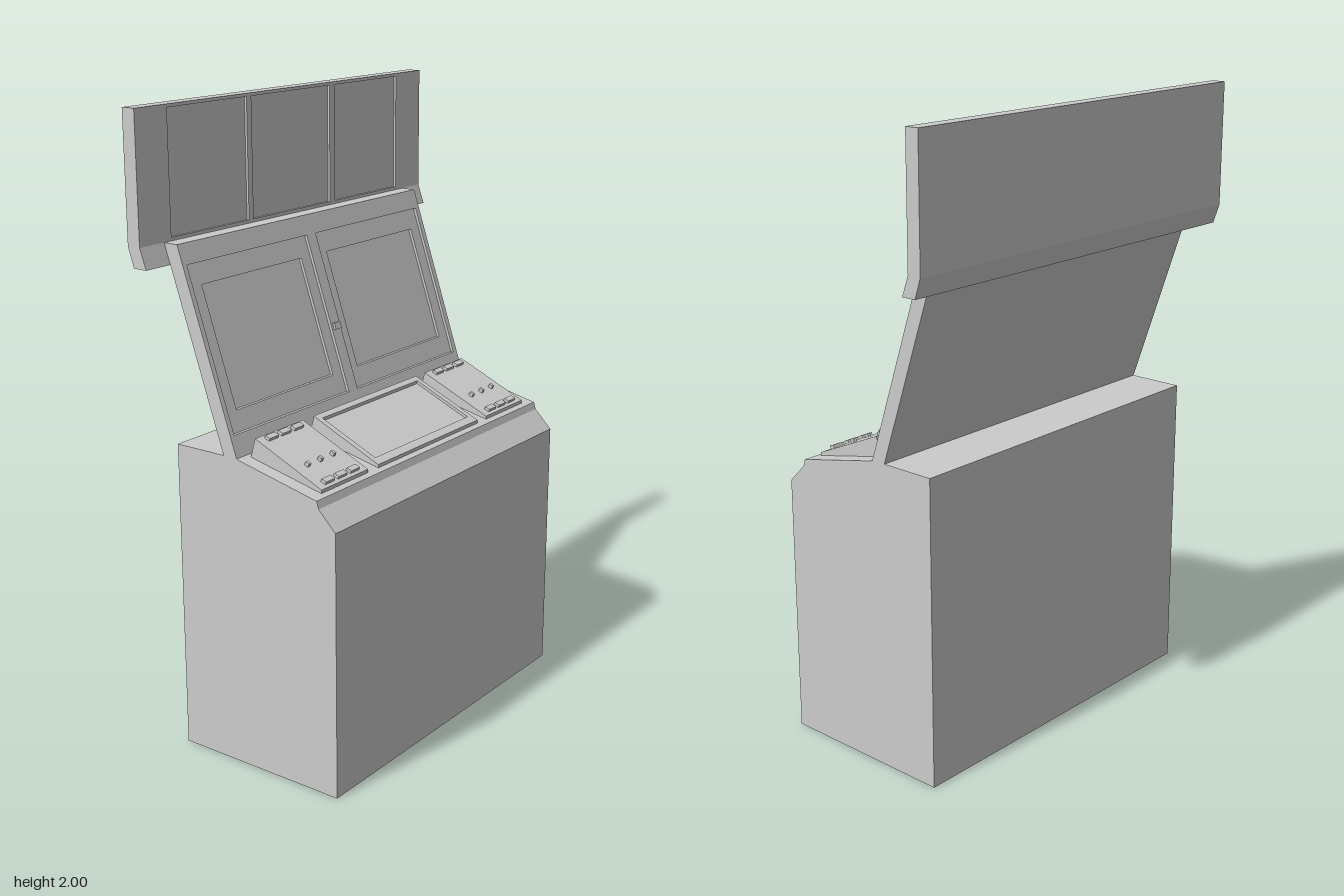
import * as THREE from 'three';

const grey = new THREE.MeshStandardMaterial({ color: 0xcccccc, flatShading: true });

function mesh(name, geometry, parent) {
  const m = new THREE.Mesh(geometry, grey);
  m.name = name;
  parent.add(m);
  return m;
}

// Side profile given as [z, y] points, extruded across the width and centred on cx
function profile(points, width, cx = 0) {
  const shape = new THREE.Shape(points.map(([z, y]) => new THREE.Vector2(z, y)));
  const g = new THREE.ExtrudeGeometry(shape, { depth: width, bevelEnabled: false });
  return g.rotateY(-Math.PI / 2).translate(cx + width / 2, 0, 0);
}

// Rectangles are [x0, y0, x1, y1]
function rect(path, [x0, y0, x1, y1]) {
  path.moveTo(x0, y0);
  path.lineTo(x1, y0);
  path.lineTo(x1, y1);
  path.lineTo(x0, y1);
  path.closePath();
  return path;
}

// Flat plate facing +z with rectangular openings
function plate(outline, holes, back, front) {
  const shape = rect(new THREE.Shape(), outline);
  shape.holes = holes.map((h) => rect(new THREE.Path(), h));
  const g = new THREE.ExtrudeGeometry(shape, { depth: front - back, bevelEnabled: false });
  return g.translate(0, 0, back);
}

// Slant a geometry by moving each vertex along one axis in proportion to another
function slant(g, rule) {
  const p = g.attributes.position;
  const v = new THREE.Vector3();
  for (let i = 0; i < p.count; i++) {
    rule(v.fromBufferAttribute(p, i));
    p.setXYZ(i, v.x, v.y, v.z);
  }
  g.computeVertexNormals();
  return g;
}

// Sloping control surface
const DECK_SLOPE = 0.437;
const deckY = (z) => 0.943 + (0.248 - z) * DECK_SLOPE;
const wedge = (drop) => [
  [0.248, 0.92], [0.248, deckY(0.248) - drop], [0.003, deckY(0.003) - drop], [-0.018, 0.975],
];

function buildCabinet(root) {
  mesh('cabinet', profile([
    [0.335, 0], [0.335, 0.845], [0.275, 0.905], [0.268, 0.928],
    [-0.015, 0.99], [-0.03, 0.995], [-0.26, 0.995], [-0.26, 0],
  ], 1.2), root);
}

function buildControls(root) {
  // Button consoles on both sides
  for (const side of [-1, 1]) {
    const group = new THREE.Group();
    group.name = side > 0 ? 'leftConsole' : 'rightConsole';
    root.add(group);
    const cx = side * 0.439;
    mesh('consoleBody', profile(wedge(0), 0.225, cx), group);
    for (const dx of [-0.06, 0, 0.06]) {
      for (const z of [0.021, 0.229]) {
        const b = mesh('button', new THREE.BoxGeometry(0.042, 0.02, 0.018), group);
        b.position.set(cx + dx, deckY(z), z);
        b.rotation.x = Math.atan(DECK_SLOPE);
      }
      const s = mesh('toggle', new THREE.BoxGeometry(0.011, 0.024, 0.014), group);
      s.position.set(cx + dx, deckY(0.155), 0.155);
      s.rotation.x = Math.atan(DECK_SLOPE);
    }
  }
  // Central display with a recessed face
  const centre = new THREE.Group();
  centre.name = 'deskDisplay';
  root.add(centre);
  mesh('displayBody', profile(wedge(0.01), 0.55), centre);
  const frame = plate([-0.275, -0.248, 0.275, -0.003], [[-0.255, -0.222, 0.255, -0.022]], -0.01, 0);
  frame.rotateX(-Math.PI / 2);
  mesh('displayFrame', slant(frame, (v) => { v.y += deckY(v.z); }), centre);
}

function buildScreens(root) {
  const group = new THREE.Group();
  group.name = 'screenPanel';
  root.add(group);
  const lean = (v) => { v.z += -0.028 - (v.y - 0.995) * 0.34; };
  const outline = [-0.6, 0.99, 0.6, 1.605];
  const frames = [[-0.583, 1.058, -0.024, 1.545], [0.021, 1.058, 0.58, 1.545]];
  const screens = [[-0.535, 1.118, -0.068, 1.48], [0.062, 1.118, 0.535, 1.48]];
  // Two stepped layers of openings in front of a solid back
  mesh('outerFrame', slant(plate(outline, frames, -0.01, 0), lean), group);
  mesh('innerFrame', slant(plate(outline, screens, -0.02, -0.01), lean), group);
  mesh('screenBack', slant(plate(outline, [], -0.05, -0.02), lean), group);
  // Small catch on the centre bar
  const c = mesh('catch', new THREE.BoxGeometry(0.03, 0.022, 0.016), group);
  c.position.set(0, 1.26, -0.118);
  c.rotation.x = -Math.atan(0.34);
}

function buildHeader(root) {
  const group = new THREE.Group();
  group.name = 'header';
  root.add(group);
  mesh('headerBody', profile([
    [-0.295, 2], [-0.333, 2], [-0.333, 1.605], [-0.312, 1.542],
    [-0.264, 1.542], [-0.287, 1.605], [-0.295, 1.605],
  ], 1.4), group);
  mesh('headerFrame', plate([-0.7, 1.605, 0.7, 2], [
    [-0.567, 1.615, -0.218, 1.99], [-0.196, 1.615, 0.191, 1.99], [0.217, 1.615, 0.56, 1.99],
  ], -0.295, -0.287), group);
}

export function createModel() {
  const root = new THREE.Group();
  root.name = 'controlConsole';
  buildCabinet(root);
  buildControls(root);
  buildScreens(root);
  buildHeader(root);
  return root;
}
